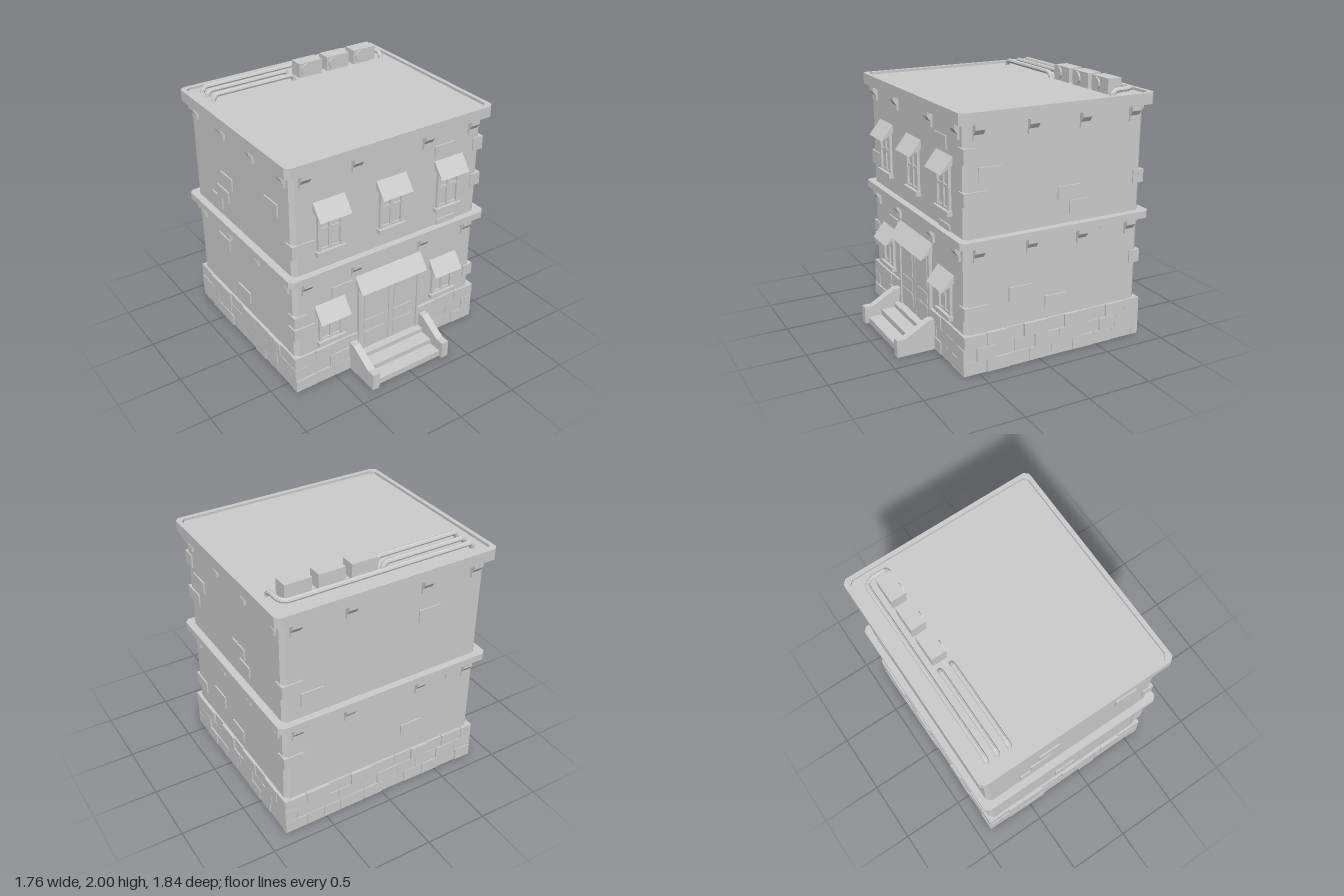
import * as THREE from 'three';

const stone = new THREE.MeshStandardMaterial({ color: 0xcccccc, flatShading: true });
stone.name = 'grey stone';

const HX = 0.825, HZ = 0.73, CZ = -0.135; // wall half sizes and depth centre

let seed = 7;
const rand = () => (seed = (seed * 16807) % 2147483647) / 2147483647;

function add(parent, name, geometry) {
  const mesh = new THREE.Mesh(geometry, stone);
  mesh.name = name;
  parent.add(mesh);
  return mesh;
}

// Box given by its limits on each axis
function box(parent, name, x0, x1, y0, y1, z0, z1) {
  const mesh = add(parent, name, new THREE.BoxGeometry(x1 - x0, y1 - y0, z1 - z0));
  mesh.position.set((x0 + x1) / 2, (y0 + y1) / 2, (z0 + z1) / 2);
  return mesh;
}

// Rectangle outline with cut corners
function outline(hx, hz, c, Kind = THREE.Shape) {
  const pts = [[hx, hz - c], [hx - c, hz], [c - hx, hz], [-hx, hz - c],
    [-hx, c - hz], [c - hx, -hz], [hx - c, -hz], [hx, c - hz]];
  return new Kind(pts.map(p => new THREE.Vector2(...p)));
}

function slab(parent, name, hx, hz, c, y0, y1, hole) {
  const shape = outline(hx, hz, c);
  if (hole) shape.holes.push(outline(hx - hole, hz - hole, c, THREE.Path));
  const geo = new THREE.ExtrudeGeometry(shape, { depth: y1 - y0, bevelEnabled: false });
  const mesh = add(parent, name, geo.rotateX(-Math.PI / 2));
  mesh.position.set(0, y0, CZ);
  return mesh;
}

// Side profile of [z, y] points, extruded between x0 and x1
function profile(parent, name, points, x0, x1) {
  const shape = new THREE.Shape(points.map(([z, y]) => new THREE.Vector2(-z, y)));
  const geo = new THREE.ExtrudeGeometry(shape, { depth: x1 - x0, bevelEnabled: false });
  const mesh = add(parent, name, geo.rotateY(Math.PI / 2));
  mesh.position.x = x0;
  return mesh;
}

function awning(parent, x, halfWidth, y) {
  profile(parent, 'awning', [[0, y + 0.12], [0.095, y], [0, y + 0.055]], x - halfWidth, x + halfWidth);
}

// Window: glass, frame, glazing bars, sill and awning
function windowUnit(parent, x, y, awningY) {
  const g = new THREE.Group();
  g.name = 'window';
  g.position.x = x;
  parent.add(g);
  const top = awningY + 0.05, transom = y + 0.2;
  box(g, 'windowGlass', -0.095, 0.095, y + 0.03, top, -0.01, 0.004);
  for (const s of [-1, 1]) box(g, 'windowJamb', s * 0.092 - 0.012, s * 0.092 + 0.012, y + 0.03, top, -0.01, 0.022);
  box(g, 'windowHead', -0.1, 0.1, awningY - 0.02, top, -0.01, 0.02);
  box(g, 'windowMullion', -0.012, 0.012, y + 0.03, top, -0.01, 0.017);
  box(g, 'windowTransom', -0.085, 0.085, transom - 0.012, transom + 0.012, -0.01, 0.015);
  box(g, 'windowBottomRail', -0.085, 0.085, y + 0.03, y + 0.052, -0.01, 0.015);
  box(g, 'windowSill', -0.118, 0.118, y, y + 0.036, -0.01, 0.04);
  awning(g, 0, 0.13, awningY);
}

// Projecting wall bricks as [start, end, bottom, top] in world x or z
const bricks = {
  front: [[-0.835, -0.655, 1.17, 1.275], [0.385, 0.565, 1.595, 1.69], [0.435, 0.61, 1.0, 1.06],
    [-0.51, -0.335, 0.715, 0.81], [-0.835, -0.73, 0.575, 0.67], [-0.835, -0.655, 0.46, 0.56]],
  right: [[0.5, 0.605, 1.55, 1.655], [0.31, 0.49, 1.415, 1.515], [0.42, 0.605, 1.25, 1.35],
    [-0.32, -0.14, 1.2, 1.295], [-0.39, -0.24, 1.085, 1.18], [-0.68, -0.51, 0.925, 0.98],
    [0.07, 0.25, 0.5, 0.605], [0.42, 0.605, 0.415, 0.515], [-0.23, -0.05, 0.38, 0.48],
    [-0.875, -0.83, 1.23, 1.33]],
  back: [[0.67, 0.835, 1.23, 1.33], [0.51, 0.69, 1.12, 1.22], [-0.44, -0.26, 1.465, 1.565],
    [-0.34, -0.16, 0.475, 0.575], [-0.74, -0.55, 0.86, 0.965], [0.67, 0.835, 0.6, 0.7]],
  left: [[0.24, 0.42, 1.42, 1.52], [-0.42, -0.24, 1.31, 1.41], [-0.49, -0.31, 1.17, 1.27],
    [-0.58, -0.42, 1.07, 1.17], [-0.53, -0.35, 0.72, 0.82], [-0.24, -0.06, 0.39, 0.49]],
};
const toLocal = { front: v => v, right: v => CZ - v, back: v => -v, left: v => v - CZ };

// One facade: local x runs along the wall, local z points outward
function facade(root, name, angle, half, out, cols) {
  const g = new THREE.Group();
  g.name = name + 'Facade';
  g.rotation.y = angle;
  g.position.set(Math.sin(angle) * out, 0, CZ + Math.cos(angle) * out);
  root.add(g);

  for (const [a, b, y0, y1] of bricks[name]) {
    const u = [toLocal[name](a), toLocal[name](b)].sort((p, q) => p - q);
    const corner = Math.max(-u[0], u[1]) > half;
    box(g, 'wallBrick', u[0], u[1], y0, y1, corner ? -0.08 : -0.02, 0.011);
  }

  // Cornice brackets
  for (const top of [1.82, 0.96]) for (const u of cols) {
    profile(g, 'corniceBracket', [[-0.01, top], [0.042, top], [0.042, top - 0.04], [0.018, top - 0.075],
      [0.018, top - 0.115], [-0.01, top - 0.115]], u - 0.038, u + 0.038);
  }

  // Foundation courses, left open at the front door
  const spans = name === 'front' ? [[-half - 0.02, -0.28], [0.28, half + 0.02]] : [[-half - 0.02, half + 0.02]];
  for (let row = 0; row < 3; row++) for (const [s, e] of spans) {
    let u = s, width = row % 2 ? 0.1 : 0.18;
    while (u < e - 0.01) {
      let end = Math.min(e, u + width);
      if (e - end < 0.06) end = e;
      box(g, 'foundationBlock', u + 0.002, end - 0.002, row * 0.102, row * 0.102 + 0.099 + rand() * 0.003,
        -0.03, 0.013 + rand() * 0.015);
      u = end;
      width = 0.14 + rand() * 0.07;
    }
  }
  return g;
}

export function createModel() {
  const root = new THREE.Group();
  root.name = 'townBuilding';

  // Main volume, mid ledge, roof cornice
  slab(root, 'foundation', HX + 0.009, HZ + 0.009, 0.01, 0, 0.297);
  slab(root, 'walls', HX, HZ, 0.032, 0.28, 1.84);
  slab(root, 'floorLedge', 0.882, 0.783, 0.032, 0.96, 1.015);
  slab(root, 'roofDeck', 0.86, 0.76, 0.03, 1.82, 1.885);
  slab(root, 'roofCornice', 0.882, 0.783, 0.032, 1.82, 1.905, 0.034);

  const frontCols = [-0.726, -0.305, 0.305, 0.726], sideCols = [-0.63, -0.21, 0.21, 0.63];
  const front = facade(root, 'front', 0, HX, HZ, frontCols);
  facade(root, 'right', Math.PI / 2, HZ, HX, sideCols);
  facade(root, 'back', Math.PI, HX, HZ, frontCols);
  facade(root, 'left', -Math.PI / 2, HZ, HX, sideCols);

  for (const x of [-0.527, 0, 0.522]) windowUnit(front, x, 1.135, 1.445);
  for (const x of [-0.527, 0.522]) windowUnit(front, x, 0.345, 0.582);

  // Double door with raised panels
  for (const s of [-1, 1]) {
    const leaf = box(front, 'doorLeaf', -0.134, 0.134, 0.12, 0.77, -0.01, 0.014);
    leaf.position.x = s * 0.137;
    for (const [y0, y1] of [[0.17, 0.29], [0.32, 0.4], [0.43, 0.68]]) {
      const panel = box(front, 'doorPanel', -0.09, 0.09, y0, y1, 0, 0.02);
      panel.position.x = s * 0.137;
    }
    box(front, 'doorJamb', s * 0.275 - 0.01, s * 0.275 + 0.01, 0.12, 0.77, -0.01, 0.026);
  }
  awning(front, -0.002, 0.3, 0.702);

  // Entrance steps with sloped side walls
  [[0.05, 0.89], [0.092, 0.78], [0.13, 0.67]].forEach(([y, z]) =>
    box(root, 'step', -0.305, 0.305, 0, y, 0.58, z));
  for (const x of [-0.33, 0.327]) {
    profile(root, 'stairWall', [[0.58, 0], [0.92, 0], [0.92, 0.137], [0.85, 0.137], [0.66, 0.245], [0.58, 0.245]],
      x - 0.03, x + 0.03);
  }

  // Roof pipes
  const pipe = (pts) => {
    const path = new THREE.CurvePath();
    const v = pts.map(p => new THREE.Vector3(...p));
    for (let i = 1; i < v.length; i++) path.add(new THREE.LineCurve3(v[i - 1], v[i]));
    add(root, 'roofPipe', new THREE.TubeGeometry(path, 60, 0.019, 8));
  };
  const low = 1.88, high = 1.927;
  for (const z of [-0.705, -0.612]) {
    pipe([[-0.75, low, z], [-0.74, 1.91, z], [-0.72, high, z], [-0.08, high, z], [-0.06, 1.91, z], [-0.05, low, z]]);
  }
  pipe([[-0.75, low, -0.79], [-0.74, 1.91, -0.79], [-0.72, high, -0.79], [0.72, high, -0.79], [0.755, high, -0.777],
    [0.775, high, -0.74], [0.778, high, -0.64], [0.778, 1.91, -0.615], [0.778, low, -0.605]]);

  // Air conditioning units with round fans
  for (const x of [0.105, 0.36, 0.615]) {
    box(root, 'airConditioner', x - 0.103, x + 0.103, 1.88, 2, -0.725, -0.612);
    const fan = add(root, 'airConditionerFan', new THREE.CylinderGeometry(0.048, 0.048, 0.02, 10).rotateX(Math.PI / 2));
    fan.position.set(x - 0.042, 1.945, -0.609);
  }
  return root;
}
